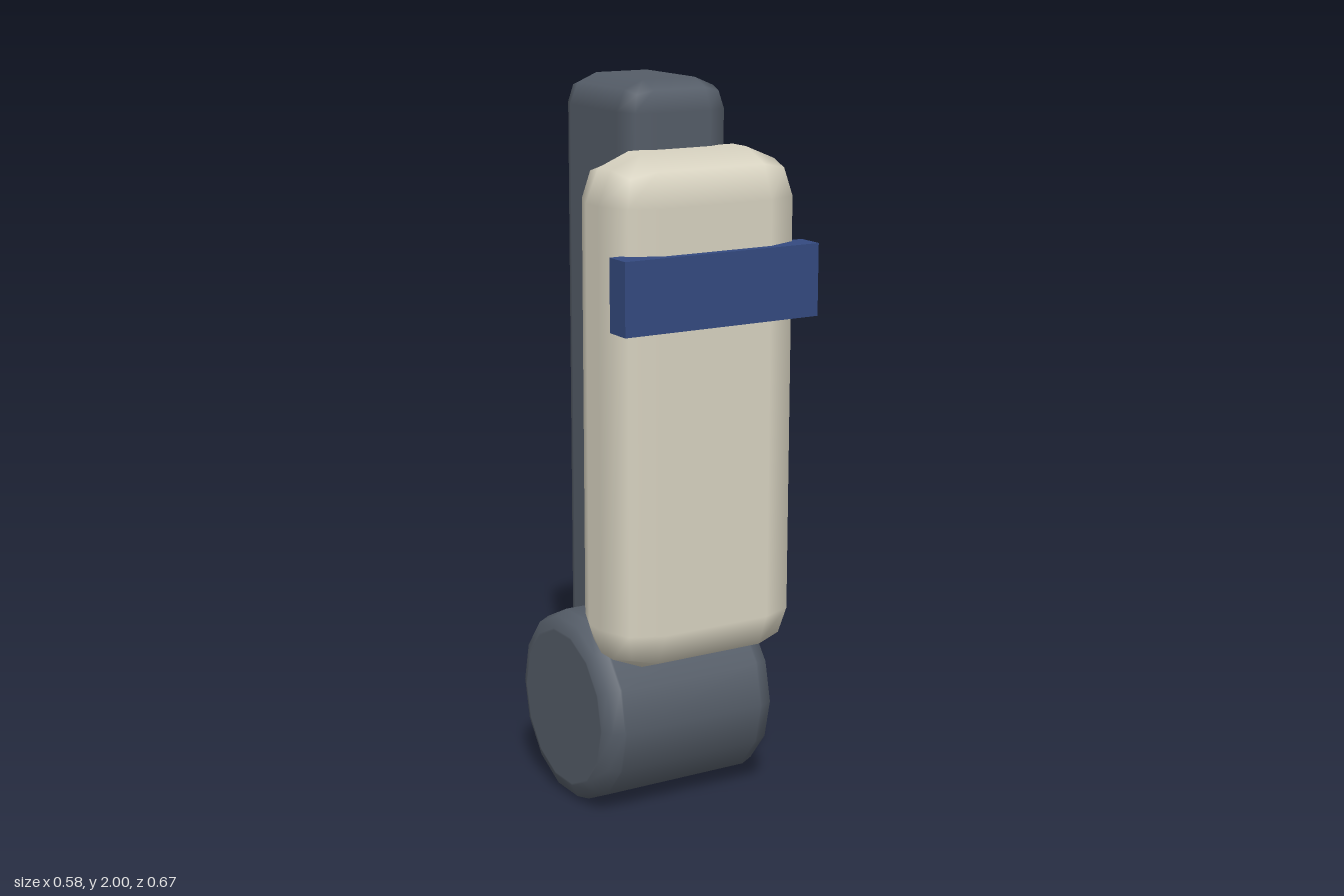
import * as THREE from 'three';
import { RoundedBoxGeometry } from 'three/addons/geometries/RoundedBoxGeometry.js';

export function createModel() {
  const group = new THREE.Group();
  const mat = (name, color) => new THREE.MeshStandardMaterial({ name, color });
  const slate = mat('slate grey', 0x555d68);
  const cream = mat('cream', 0xd8d3c1);
  const blue = mat('navy blue', 0x344a80);

  const add = (name, geometry, material, x, y, z) => {
    const mesh = new THREE.Mesh(geometry, material);
    mesh.name = name;
    mesh.position.set(x, y, z);
    group.add(mesh);
    return mesh;
  };

  // Upright limb, its lower end sunk into the joint
  add('limb', new RoundedBoxGeometry(0.316, 1.76, 0.41, 1, 0.08), slate, 0, 1.12, -0.068);

  // Thick rounded guard on the front of the limb
  add('guard', new RoundedBoxGeometry(0.57, 1.386, 0.316, 1, 0.126), cream, 0, 1.133, 0.153);

  // Stripe across the guard
  add('stripe', new THREE.BoxGeometry(0.584, 0.194, 0.079), blue, 0, 1.483, 0.2955);

  // Joint: fourteen-sided drum with bevelled rims, lying along x
  const r = 0.27, half = 0.268, b = 0.047;
  const rim = [
    [r, half - b - 0.006],
    [r, half - b],
    [r - b * 0.293, half - b * 0.293],
    [r - b, half],
    [r - b - 0.006, half],
    [0, half],
  ];
  const profile = [
    ...rim.map(([x, y]) => new THREE.Vector2(x, -y)).reverse(),
    ...rim.map(([x, y]) => new THREE.Vector2(x, y)),
  ];
  const drum = new THREE.LatheGeometry(profile, 14);
  drum.rotateZ(Math.PI / 2);
  add('joint', drum, slate, 0, 0.263, -0.067);

  return group;
}
